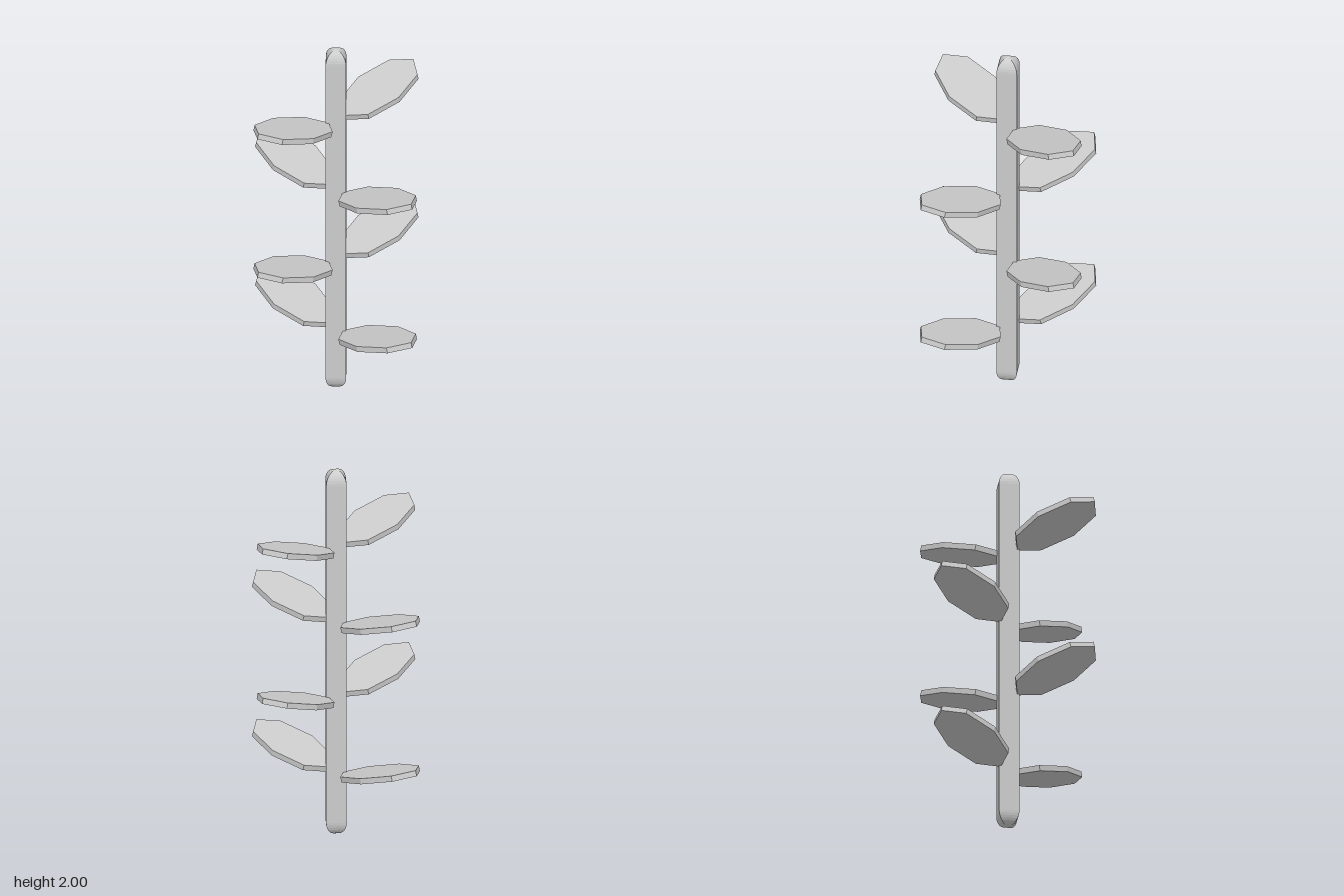
import * as THREE from 'three';

export function createModel() {
  const model = new THREE.Group();
  model.name = 'leafyStem';
  const material = new THREE.MeshStandardMaterial({ color: 0xcccccc, flatShading: true });

  // Square stem with rounded ends, its corners on the x and z axes
  const stemRadius = 0.075;
  const stem = new THREE.Mesh(
    new THREE.CapsuleGeometry(stemRadius, 2 - 2 * stemRadius, 8, 4),
    material
  );
  stem.name = 'stem';
  stem.position.y = 1;
  model.add(stem);

  // Eight-sided flat leaf, stretched outward and tilted up
  const leafGeometry = new THREE.CylinderGeometry(1, 1, 0.03, 8)
    .scale(0.26, 1, 0.149)
    .rotateZ(THREE.MathUtils.degToRad(15))
    .translate(0.308, 0, 0);

  // Four opposite pairs, each turned a quarter from the one below
  for (let level = 0; level < 4; level++) {
    const pair = new THREE.Group();
    pair.name = `leafPair${level + 1}`;
    pair.position.y = 0.402 + level * 0.411;
    pair.rotation.y = (level % 2) * Math.PI / 2;
    for (let side = 0; side < 2; side++) {
      const leaf = new THREE.Mesh(leafGeometry, material);
      leaf.name = 'leaf';
      leaf.rotation.y = side * Math.PI;
      pair.add(leaf);
    }
    model.add(pair);
  }

  return model;
}
